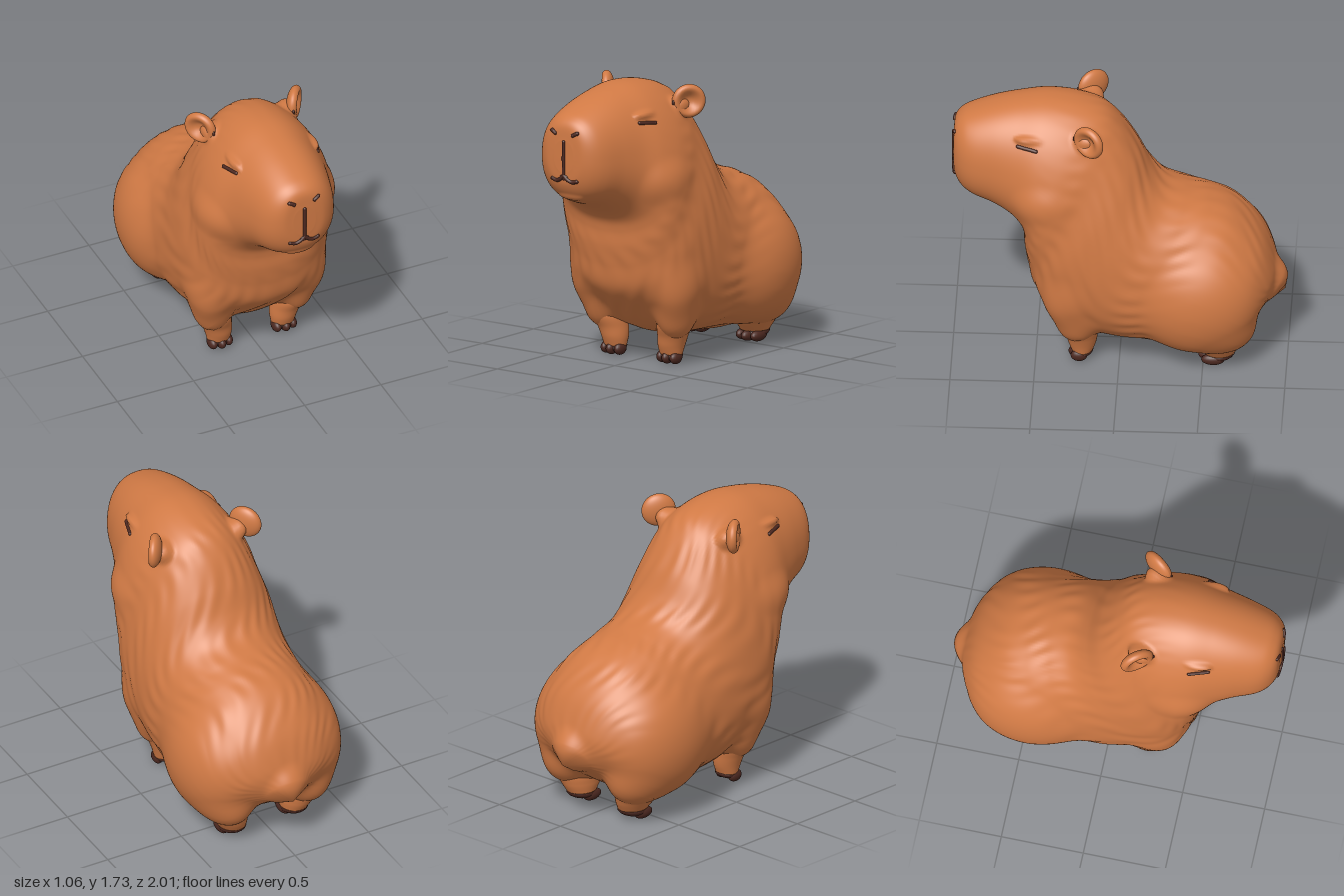
import * as THREE from 'three';

const fur = new THREE.MeshStandardMaterial({ color: 0xd17a45 });
fur.name = 'russet fur';
const dark = new THREE.MeshStandardMaterial({ color: 0x4c2820 });
dark.name = 'dark brown';

// Loft through slanted oval sections: [topZ, topY, bottomZ, bottomY, halfWidth, x offset, pear shape]
function loft(sections, rings, sides, power, ridge) {
  const curve = (f) => new THREE.CatmullRomCurve3(sections.map(f), false, 'catmullrom', 0.5);
  const tops = curve((s) => new THREE.Vector3(s[4], s[1], s[0]));
  const bots = curve((s) => new THREE.Vector3(s[5], s[3], s[2]));
  const pears = curve((s) => new THREE.Vector3(s[6] || 0, 0, 0));
  const pos = [], idx = [];
  const round = (v) => Math.sign(v) * Math.pow(Math.abs(v), 2 / power);
  for (let i = 0; i <= rings; i++) {
    const u = i / rings;
    const t = tops.getPoint(u), b = bots.getPoint(u), pear = pears.getPoint(u).x;
    for (let j = 0; j < sides; j++) {
      const a = (j / sides) * Math.PI * 2;
      const k = 1 + ridge(u, a);
      const s = round(Math.sin(a)) * k, c = round(Math.cos(a)) * k;
      pos.push(b.x + t.x * c * (1 - pear * s),
        (t.y + b.y) / 2 + ((t.y - b.y) / 2) * s,
        (t.z + b.z) / 2 + ((t.z - b.z) / 2) * s);
      if (i < rings) {
        const n = (j + 1) % sides, A = i * sides + j, B = i * sides + n;
        idx.push(A, A + sides, B, A + sides, B + sides, B);
      }
    }
  }
  // end caps
  [0, rings].forEach((r) => {
    const t = tops.getPoint(r / rings), b = bots.getPoint(r / rings);
    const centre = pos.length / 3;
    pos.push(b.x, (t.y + b.y) / 2, (t.z + b.z) / 2);
    for (let j = 0; j < sides; j++) {
      const p = r * sides + j, q = r * sides + ((j + 1) % sides);
      if (r === 0) idx.push(centre, p, q); else idx.push(centre, q, p);
    }
  });
  const g = new THREE.BufferGeometry();
  g.setAttribute('position', new THREE.Float32BufferAttribute(pos, 3));
  g.setIndex(idx);
  g.computeVertexNormals();
  return g;
}

// Swell a skin along its normals so it flows over muscles: [x, y, z, rx, ry, rz, blend]
function swell(geo, muscles) {
  const pos = geo.attributes.position, nor = geo.attributes.normal;
  const p = new THREE.Vector3(), n = new THREE.Vector3();
  const q = new THREE.Vector3(), w = new THREE.Vector3();
  for (let i = 0; i < pos.count; i++) {
    p.fromBufferAttribute(pos, i);
    n.fromBufferAttribute(nor, i);
    let out = 0;
    for (let step = 0; step < 16; step++) {
      let d = out;
      for (const [x, y, z, rx, ry, rz, k] of muscles) {
        q.copy(p).addScaledVector(n, out);
        q.set((q.x - x) / rx, (q.y - y) / ry, (q.z - z) / rz);
        w.set(q.x / rx, q.y / ry, q.z / rz);
        const e = q.length() * (q.length() - 1) / (w.length() + 1e-6);
        const h = Math.max(k - Math.abs(d - e), 0) / k;
        d = Math.min(d, e) - h * h * k / 4;
      }
      out -= d;
    }
    p.addScaledVector(n, out);
    pos.setXYZ(i, p.x, p.y, p.z);
  }
  geo.computeVertexNormals();
  return geo;
}

export function createModel() {
  const group = new THREE.Group();
  const add = (name, geo, mat) => {
    const m = new THREE.Mesh(geo, mat);
    m.name = name;
    group.add(m);
    return m;
  };
  const blob = (name, p, r) => {
    const m = add(name, new THREE.SphereGeometry(1, 20, 14), dark);
    m.position.set(...p);
    m.scale.set(...r);
    return m;
  };

  // head, neck and trunk in one skin, from nose to rump
  const trunk = [
    [1.0, 1.46, 1.0, 1.27, 0.07, 0, 0],
    [0.99, 1.55, 0.99, 1.19, 0.14, 0, 0],
    [0.95, 1.6, 0.95, 1.12, 0.2, 0, 0.03],
    [0.88, 1.635, 0.88, 1.07, 0.245, 0, 0.06],
    [0.75, 1.68, 0.76, 1.025, 0.285, 0, 0.1],
    [0.6, 1.715, 0.66, 0.97, 0.325, 0, 0.16],
    [0.43, 1.735, 0.6, 0.91, 0.375, 0, 0.21],
    [0.25, 1.715, 0.58, 0.84, 0.405, 0, 0.23],
    [0.1, 1.66, 0.575, 0.74, 0.42, 0, 0.22],
    [0.0, 1.56, 0.555, 0.62, 0.43, 0, 0.18],
    [-0.1, 1.4, 0.52, 0.47, 0.455, 0, 0.12],
    [-0.18, 1.24, 0.4, 0.33, 0.465, 0, 0.08],
    [-0.27, 1.14, 0.25, 0.2, 0.465, 0, 0.06],
    [-0.4, 1.085, 0.08, 0.14, 0.465, 0, 0.06],
    [-0.53, 1.045, -0.12, 0.12, 0.465, 0, 0.06],
    [-0.66, 0.985, -0.35, 0.1, 0.465, 0, 0.06],
    [-0.77, 0.89, -0.5, 0.12, 0.44, 0, 0.04],
    [-0.86, 0.77, -0.62, 0.17, 0.39, 0, 0],
    [-0.92, 0.62, -0.75, 0.25, 0.3, 0, 0],
    [-0.945, 0.5, -0.87, 0.34, 0.13, 0, 0],
  ];
  // shallow combed locks of fur, fading out on the face
  const locks = (u, a) => 0.007 * THREE.MathUtils.smoothstep(u, 0.3, 0.5)
    * Math.sin(26 * a + 4 * Math.sin(u * 22) + 2 * Math.sin(3 * a))
    * (0.6 + 0.4 * Math.sin(u * 60 + 5 * a));

  // tail stub and lower lip, then the paired muscles
  const muscles = [
    [0, 0.455, -0.9, 0.115, 0.12, 0.1, 0.06],
    [0, 1.115, 0.92, 0.085, 0.025, 0.03, 0.02],
  ];
  for (const s of [-1, 1]) {
    muscles.push(
      [s * 0.3, 0.49, -0.465, 0.232, 0.35, 0.365, 0.06], // haunch
      [s * 0.26, 0.29, -0.6, 0.165, 0.18, 0.215, 0.06], // thigh
      [s * 0.305, 0.5, 0.3, 0.13, 0.2, 0.15, 0.08], // shoulder
      [s * 0.27, 0.33, 0.25, 0.118, 0.17, 0.135, 0.06], // upper foreleg
      [s * 0.27, 1.17, 0.42, 0.16, 0.15, 0.2, 0.05], // jowl
      [s * 0.255, 1.575, 0.19, 0.055, 0.06, 0.075, 0.04], // ear root
      [s * 0.255, 1.575, 0.54, 0.03, 0.02, 0.08, 0.02], // eyelid
    );
  }
  const body = add('body', swell(loft(trunk, 190, 180, 2.25, locks), muscles), fur);
  body.updateMatrixWorld();

  // dark lines laid on the skin
  const ray = new THREE.Raycaster();
  const cast = (from, dir) => {
    ray.set(new THREE.Vector3(...from), new THREE.Vector3(...dir));
    return ray.intersectObject(body)[0].point;
  };
  const line = (name, pts, r) => {
    const c = new THREE.CatmullRomCurve3(pts);
    add(name, new THREE.TubeGeometry(c, 24, r, 8), dark);
    [pts[0], pts[pts.length - 1]].forEach((p) => blob(name + 'End', p.toArray(), [r, r, r]));
  };
  const onFace = (list) => list.map(([x, y]) => cast([x, y, 2], [0, 0, -1]));
  line('noseGroove', onFace([[0, 1.455], [0, 1.4], [0, 1.33], [0, 1.25]]), 0.011);
  blob('mouthCentre', cast([0, 1.238, 2], [0, 0, -1]).toArray(), [0.03, 0.018, 0.008]);

  const noRidge = () => 0;
  for (const s of [-1, 1]) {
    const side = s > 0 ? 'left' : 'right';
    line(side + 'Mouth', onFace([[0, 1.25], [s * 0.025, 1.228], [s * 0.055, 1.215], [s * 0.09, 1.222]]), 0.012);
    line(side + 'Nostril', onFace([[s * 0.067, 1.502], [s * 0.08, 1.51], [s * 0.094, 1.516]]), 0.012);
    const eye = [[0.605, 1.537], [0.57, 1.533], [0.53, 1.53], [0.495, 1.525]];
    line(side + 'Eye', eye.map(([z, y]) => cast([s * 2, y, z], [-s, 0, 0])), 0.011);
    blob(side + 'EarSpot', cast([s * 2, 1.6, 0.264], [-s, 0, 0]).toArray(), [0.009, 0.018, 0.013]);

    // cupped ear: a flattened ball with its outer face pressed in
    const ear = new THREE.SphereGeometry(1, 40, 32);
    const p = ear.attributes.position;
    for (let i = 0; i < p.count; i++) {
      const x = p.getX(i), y = p.getY(i), z = p.getZ(i);
      const dent = z > 0 ? 1.2 * (1 - THREE.MathUtils.smoothstep(Math.hypot(x, y), 0.1, 0.9)) : 0;
      p.setXYZ(i, x * 0.104, y * 0.102, (z - dent) * 0.048);
    }
    ear.computeVertexNormals();
    const earMesh = add(side + 'Ear', ear, fur);
    earMesh.position.set(s * 0.31, 1.605, 0.18);
    earMesh.rotation.set(0, s * 0.95, s * -0.2);

    // lower legs
    add(side + 'FrontLeg', loft([
      [0.15, 0.34, 0.34, 0.34, 0.08, s * 0.265],
      [0.125, 0.25, 0.35, 0.25, 0.102, s * 0.248],
      [0.13, 0.17, 0.32, 0.17, 0.092, s * 0.225],
      [0.14, 0.11, 0.305, 0.11, 0.083, s * 0.213],
      [0.16, 0.055, 0.285, 0.055, 0.072, s * 0.21],
    ], 40, 40, 2, noRidge), fur);
    add(side + 'HindLeg', loft([
      [-0.71, 0.3, -0.45, 0.3, 0.1, s * 0.26],
      [-0.74, 0.2, -0.42, 0.19, 0.135, s * 0.25],
      [-0.72, 0.125, -0.45, 0.125, 0.11, s * 0.225],
      [-0.69, 0.065, -0.5, 0.065, 0.085, s * 0.21],
    ], 40, 40, 2, noRidge), fur);

    // dark feet, heels raised, with three toes each
    blob(side + 'FrontFoot', [s * 0.21, 0.046, 0.22], [0.073, 0.03, 0.065]).rotation.x = 0.2;
    blob(side + 'HindFoot', [s * 0.21, 0.053, -0.6], [0.085, 0.04, 0.092]).rotation.x = 0.15;
    for (const t of [-1, 0, 1]) {
      const out = Math.abs(t);
      blob(side + 'FrontToe', [s * 0.21 + t * 0.05, 0.038, 0.255 - out * 0.015], [0.029, 0.038, 0.05]);
      blob(side + 'HindToe', [s * 0.21 + t * 0.055, 0.036, -0.54 - out * 0.02], [0.032, 0.036, 0.07]);
    }
  }
  return group;
}
